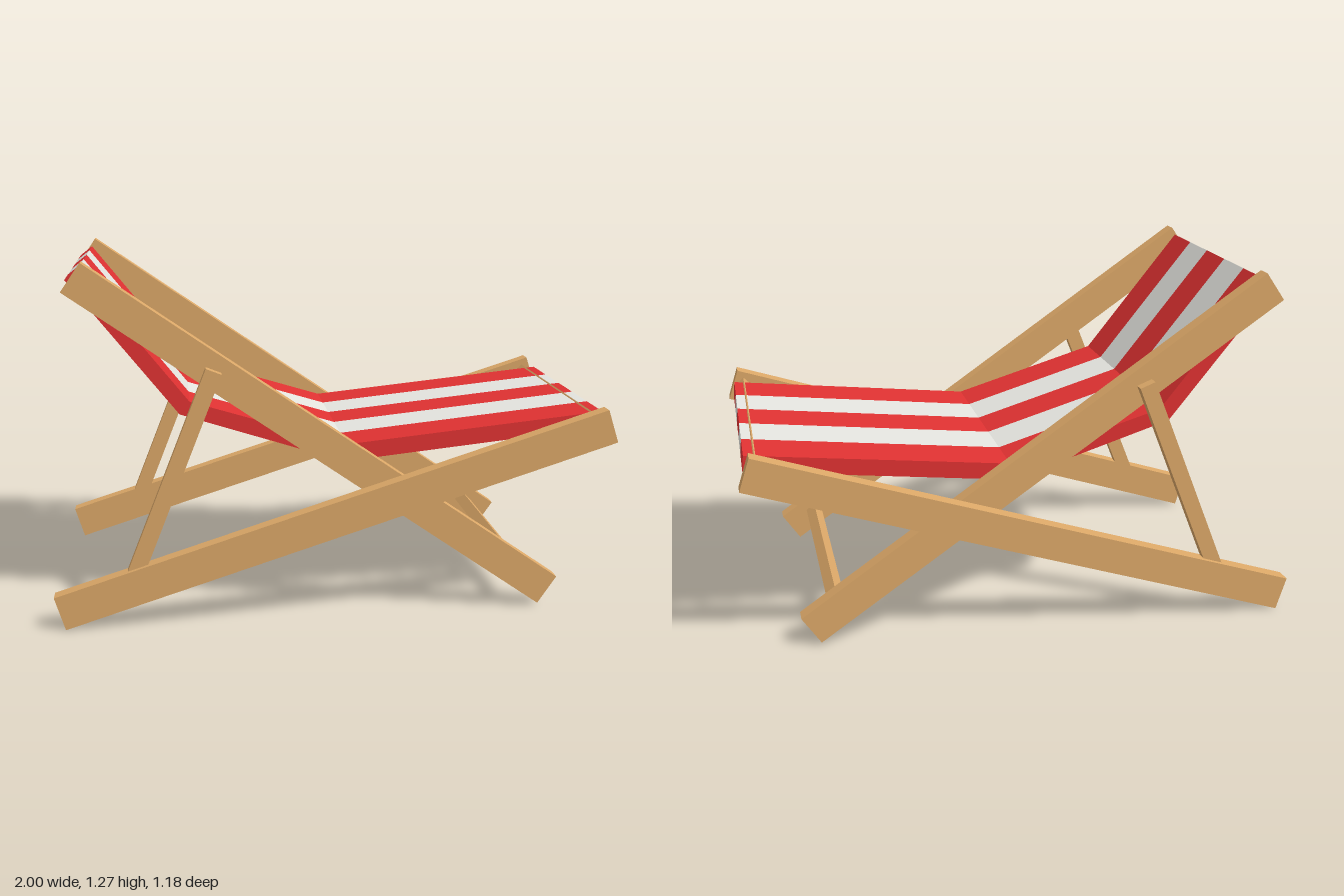
import * as THREE from 'three';

export function createModel() {
  const model = new THREE.Group();
  model.name = 'deckChair';

  const flat = (name, color) => {
    const m = new THREE.MeshStandardMaterial({ color });
    m.name = name;
    return m;
  };
  const wood = flat('wood', 0xdca868);
  const red = flat('red canvas', 0xe03232);
  const white = flat('white canvas', 0xe6e6e0);

  const add = (name, geometry, material) => {
    const mesh = new THREE.Mesh(geometry, material);
    mesh.name = name;
    model.add(mesh);
    return mesh;
  };

  // Square-ended plank running between two points in the xy plane
  function plank(name, [x0, y0], [x1, y1], width, depth, z) {
    const length = Math.hypot(x1 - x0, y1 - y0);
    const mesh = add(name, new THREE.BoxGeometry(length, width, depth), wood);
    mesh.position.set((x0 + x1) / 2, (y0 + y1) / 2, z);
    mesh.rotation.z = Math.atan2(y1 - y0, x1 - x0);
  }

  // Mirrored side frames
  for (const [side, s] of [['left', 1], ['right', -1]]) {
    plank(side + 'SeatRail', [-0.98, 0.06], [0.978, 0.681], 0.124, 0.06, s * 0.56);
    plank(side + 'BackRail', [-0.907, 1.225], [0.773, 0.06], 0.12, 0.06, s * 0.5);
    plank(side + 'Strut', [-0.735, 0.14], [-0.432, 0.902], 0.058, 0.04, s * 0.55);
  }

  // Four-sided crossbars set on edge
  function crossbar(name, x, y, length) {
    const bar = new THREE.CylinderGeometry(0.032, 0.032, length, 4).toNonIndexed();
    bar.computeVertexNormals();
    const mesh = add(name, bar, wood);
    mesh.rotation.x = Math.PI / 2;
    mesh.position.set(x, y, 0);
  }
  crossbar('frontCrossbar', 0.937, 0.678, 1.07);
  crossbar('footCrossbar', 0.675, 0.13, 0.95);

  // Sagging canvas: one thick profile, extruded once per stripe
  const profile = new THREE.Shape([
    [-0.93, 1.21], [-0.55, 0.735], [0.03, 0.55], [0.98, 0.652],
    [0.975, 0.71], [0.04, 0.612], [-0.515, 0.78], [-0.885, 1.245],
  ].map(([x, y]) => new THREE.Vector2(x, y)));
  const edges = [-0.468, -0.282, -0.092, 0.092, 0.282, 0.468];
  for (let i = 0; i < 5; i++) {
    const stripe = new THREE.ExtrudeGeometry(profile, {
      depth: edges[i + 1] - edges[i], bevelEnabled: false,
    });
    stripe.translate(0, 0, edges[i]);
    add('canvasStripe' + (i + 1), stripe, i % 2 ? white : red);
  }

  return model;
}
